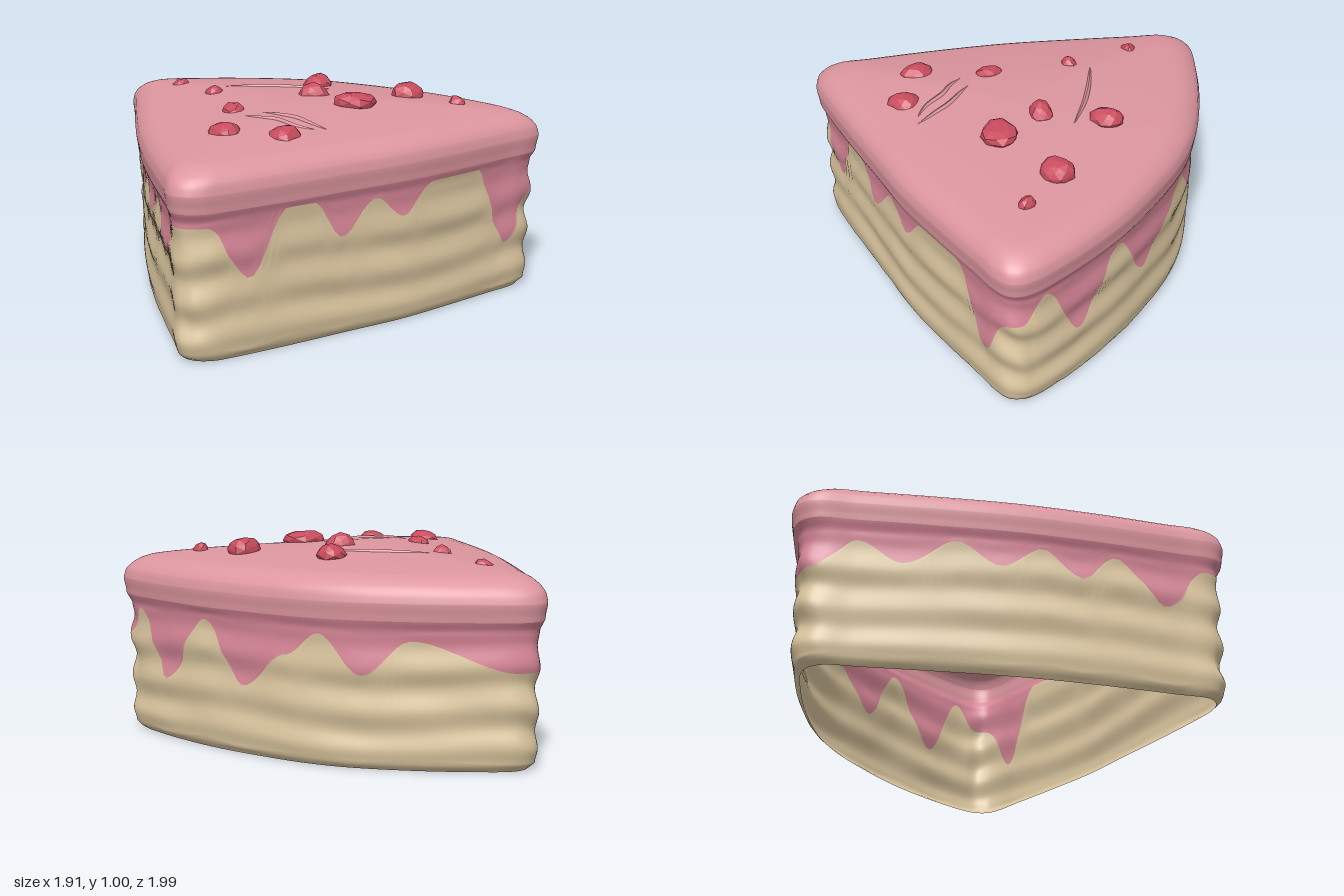
import * as THREE from 'three';

const mat = (name, color, side = THREE.FrontSide) => {
  const m = new THREE.MeshStandardMaterial({ color, side });
  m.name = name;
  return m;
};

// Outline seen from above: front left corner, tip, back left corner
const outline = [
  [-0.93, 0.93], [-0.88, 0.98], [-0.8, 0.995], [-0.7, 0.975], [-0.4, 0.885], [-0.1, 0.785], [0.2, 0.685],
  [0.5, 0.55], [0.75, 0.43], [0.88, 0.37], [0.94, 0.32], [0.957, 0.26], [0.94, 0.19],
  [0.87, 0.06], [0.75, -0.12], [0.6, -0.31], [0.4, -0.51], [0.2, -0.68], [0, -0.8],
  [-0.3, -0.91], [-0.55, -0.97], [-0.76, -0.998], [-0.83, -0.975], [-0.875, -0.91],
  [-0.89, -0.75], [-0.925, -0.4], [-0.955, 0], [-0.955, 0.4], [-0.94, 0.75],
];
const TIP = 11, BACK = 22.5;
const N = outline.length * 10;
const curve = new THREE.CatmullRomCurve3(
  outline.map(([x, z]) => new THREE.Vector3(x, 0, z)), true, 'centripetal');
const ring = Array.from({ length: N }, (_, i) => curve.getPoint(i / N));
const CX = -0.2, CZ = 0.05;

// Eased interpolation through a table of [key, value] with rising keys
function ease(table, k, smooth = true) {
  if (k <= table[0][0]) return table[0][1];
  for (let i = 1; i < table.length; i++) {
    const [k0, v0] = table[i - 1], [k1, v1] = table[i];
    if (k <= k1) {
      const t = (k - k0) / (k1 - k0);
      return v0 + (v1 - v0) * (smooth ? t * t * (3 - 2 * t) : t);
    }
  }
  return table[table.length - 1][1];
}

// Lower edge of the icing on the three sides
const frontDrip = [[-0.9, 0.62], [-0.8, 0.62], [-0.61, 0.37], [-0.42, 0.66], [-0.29, 0.66], [-0.15, 0.48],
  [0.03, 0.63], [0.18, 0.52], [0.34, 0.66], [0.6, 0.66], [0.8, 0.26], [0.95, 0.5]];
const curvedDrip = [[-1.78, 0.46], [-1.18, 0.6], [-0.88, 0.44], [-0.6, 0.62], [-0.36, 0.51], [0, 0.34],
  [0.34, 0.63], [0.75, 0.31], [1.05, 0.63], [1.21, 0.5]];
const leftDrip = [[-0.95, 0.46], [-0.75, 0.6], [-0.55, 0.5], [-0.3, 0.63], [-0.1, 0.52], [0.1, 0.63],
  [0.28, 0.5], [0.45, 0.63], [0.7, 0.42], [0.9, 0.62]];
function dripY(i) {
  const k = i / N * outline.length, p = ring[i];
  if (k < 1) return 0.62;
  if (k < TIP) return ease(frontDrip, p.x);
  if (k < BACK) return ease(curvedDrip, p.x + p.z);
  return ease(leftDrip, p.z);
}

// Inset of the wall at each height, with the grooves between layers
const wall = [[0.01, 0.075], [0.04, 0.045], [0.11, 0.032], [0.2, 0.05], [0.29, 0.032], [0.39, 0.05],
  [0.48, 0.028], [0.58, 0.042], [0.64, 0.034], [0.7, 0.01], [0.77, 0]];
// Rounded shoulder and gently domed top: [inset, height]
const top = [[0, 0.77], [0.01, 0.81], [0.035, 0.84], [0.075, 0.866], [0.12, 0.883], [0.2, 0.895],
  [0.35, 0.912], [0.6, 0.935], [0.8, 0.945], [1, 0.95]];

const at = (i, s, y) => [CX + (ring[i].x - CX) * (1 - s), y, CZ + (ring[i].z - CZ) * (1 - s)];
function wallPoint(i, y) {
  const a = i / N * Math.PI * 2;
  const fade = Math.min(1, Math.max(0, (0.69 - y) * 6)) * Math.min(1, y * 6);
  const s = ease(wall, y + fade * 0.018 * Math.sin(5 * a + 1))
    + fade * 0.005 * Math.sin(11 * a + y * 16) * Math.sin(4 * a - y * 9);
  return at(i, s, y);
}

// Closed skin of stacked rings
function skin(rows, point) {
  const pos = [], idx = [];
  for (let j = 0; j <= rows; j++)
    for (let i = 0; i < N; i++) pos.push(...point(i, j / rows));
  for (let j = 0; j < rows; j++)
    for (let i = 0; i < N; i++) {
      const a = j * N + i, b = j * N + (i + 1) % N;
      idx.push(a, b, b + N, a, b + N, a + N);
    }
  const g = new THREE.BufferGeometry();
  g.setAttribute('position', new THREE.Float32BufferAttribute(pos, 3));
  g.setIndex(idx);
  g.computeVertexNormals();
  return g;
}

// Height of the icing top at a point
function topY(x, z) {
  const a = Math.atan2(z - CZ, x - CX);
  let best = 9, R = 1;
  for (const p of ring) {
    const d = Math.abs(Math.atan2(p.z - CZ, p.x - CX) - a);
    if (d < best) { best = d; R = Math.hypot(p.x - CX, p.z - CZ); }
  }
  return ease(top, 1 - Math.hypot(x - CX, z - CZ) / R, false);
}

export function createModel() {
  const group = new THREE.Group();
  const sponge = mat('sponge cream', 0xdcc7a0, THREE.DoubleSide);
  const icing = mat('icing pink', 0xdd969f, THREE.DoubleSide);
  const drip = mat('drip pink', 0xd98799, THREE.DoubleSide);
  const berry = mat('berry red', 0xc94c5e);
  const add = (name, geo, m) => {
    const mesh = new THREE.Mesh(geo, m);
    mesh.name = name;
    group.add(mesh);
    return mesh;
  };

  // Hollow slice: sponge wall, dripping edge, icing top
  const EDGE = 0.69;
  add('spongeWall', skin(32, (i, t) => wallPoint(i, 0.01 + (dripY(i) - 0.01) * t)), sponge);
  add('icingDrips', skin(16, (i, t) => wallPoint(i, dripY(i) + (EDGE - dripY(i)) * t)), drip);
  add('icingTop', skin(36, (i, t) => {
    if (t < 0.2) return wallPoint(i, EDGE + (0.77 - EDGE) * t / 0.2);
    const s = ((t - 0.2) / 0.8) ** 2.2;
    return at(i, s, ease(top, s, false));
  }), icing);

  // Raised wrinkles in the icing
  const wrinkles = [
    [[-0.5, -0.38], [-0.4, -0.355], [-0.28, -0.32], [-0.15, -0.27], [-0.05, -0.22], [0.04, -0.17]],
    [[-0.42, 0.25], [-0.35, 0.31], [-0.27, 0.38], [-0.21, 0.47], [-0.15, 0.56]],
    [[-0.5, 0.28], [-0.43, 0.35], [-0.36, 0.4], [-0.29, 0.49], [-0.2, 0.55]],
  ];
  wrinkles.forEach(w => {
    const path = new THREE.CatmullRomCurve3(w.map(([x, z]) => new THREE.Vector3(x, topY(x, z) - 0.003, z)));
    const g = new THREE.TubeGeometry(path, 24, 0.014, 6);
    const p = g.attributes.position, c = new THREE.Vector3();
    for (let i = 0; i < p.count; i++) {
      const t = Math.floor(i / 7) / 24;
      path.getPointAt(t, c);
      const v = new THREE.Vector3().fromBufferAttribute(p, i);
      v.sub(c).multiplyScalar(0.15 + 0.85 * Math.sin(Math.PI * t)).add(c);
      p.setXYZ(i, v.x, v.y, v.z);
    }
    g.computeVertexNormals();
    add('icingWrinkle', g, icing);
  });

  // Berry pieces: x, z, half width, half depth, top height
  const berries = [
    [-0.66, -0.62, 0.05, 0.042, 0.935], [-0.54, -0.28, 0.05, 0.042, 0.965], [0, -0.345, 0.074, 0.083, 0.985],
    [-0.09, -0.04, 0.085, 0.063, 1], [0.38, -0.02, 0.085, 0.085, 0.985], [0.575, 0.16, 0.042, 0.046, 0.945],
    [0.06, 0.19, 0.102, 0.088, 1], [-0.52, 0.14, 0.052, 0.07, 0.972], [-0.615, 0.49, 0.074, 0.085, 0.965],
    [-0.37, 0.585, 0.08, 0.085, 0.955],
  ];
  berries.forEach(([x, z, rx, rz, y], n) => {
    const g = new THREE.IcosahedronGeometry(1, 1);
    const p = g.attributes.position;
    for (let i = 0; i < p.count; i++) {
      const a = p.getX(i), b = p.getY(i), c = p.getZ(i);
      const k = 0.97 + 0.12 * Math.sin(a * 3.1 + n * 1.7) * Math.cos(c * 2.7 - n) + 0.05 * Math.sin(b * 4 + n);
      p.setXYZ(i, a * k * rx, b * k * 0.055, c * k * rz);
    }
    g.computeVertexNormals();
    add('berryPiece', g, berry).position.set(x, y - 0.055, z);
  });
  return group;
}
